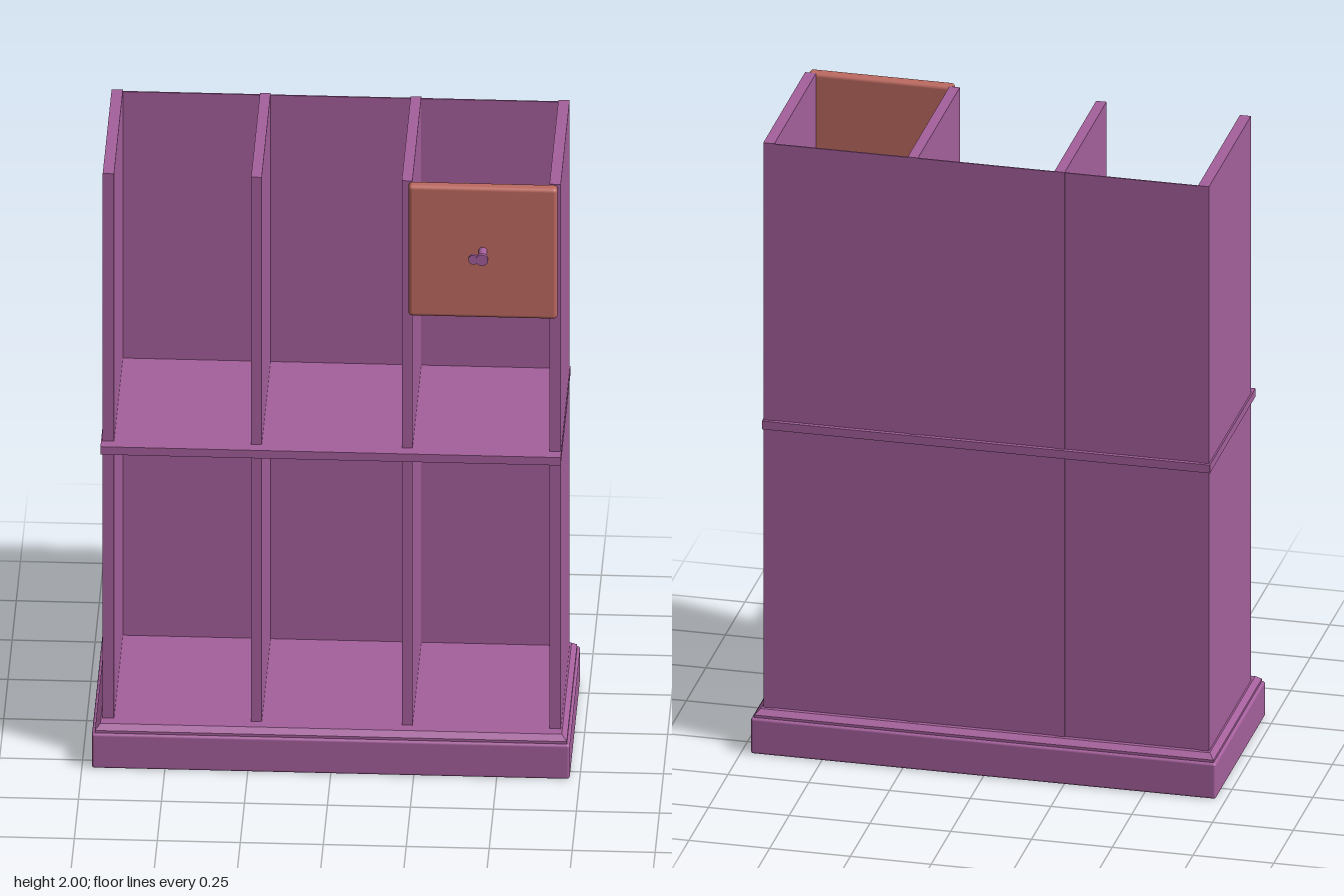
import * as THREE from 'three';
import { RoundedBoxGeometry } from 'three/addons/geometries/RoundedBoxGeometry.js';

const purple = new THREE.MeshStandardMaterial({ color: 0xa5609c });
const orange = new THREE.MeshStandardMaterial({ color: 0xbd6a60 });

export function createModel() {
  const group = new THREE.Group();

  const add = (name, geometry, material = purple) => {
    const mesh = new THREE.Mesh(geometry, material);
    mesh.name = name;
    group.add(mesh);
    return mesh;
  };

  // Box given by its extents; a radius rounds its edges
  const box = (name, [x0, x1], [y0, y1], [z0, z1], material, radius = 0) => {
    const size = [x1 - x0, y1 - y0, z1 - z0];
    const geometry = radius
      ? new RoundedBoxGeometry(...size, 3, radius)
      : new THREE.BoxGeometry(...size);
    geometry.translate((x0 + x1) / 2, (y0 + y1) / 2, (z0 + z1) / 2);
    return add(name, geometry, material);
  };

  // Plinth with a sloped moulding on top
  box('plinth', [-0.72, 0.72], [0, 0.117], [-0.335, 0.302], purple, 0.008);
  box('mouldingStep', [-0.711, 0.711], [0.11, 0.125], [-0.326, 0.293]);
  const moulding = new THREE.BoxGeometry(1.422, 0.015, 0.619);
  const p = moulding.attributes.position;
  for (let i = 0; i < p.count; i++) {
    if (p.getY(i) > 0) {
      p.setX(i, Math.sign(p.getX(i)) * 0.695);
      p.setZ(i, Math.sign(p.getZ(i)) * 0.291);
    }
  }
  moulding.toNonIndexed();
  moulding.computeVertexNormals();
  add('moulding', moulding).position.set(0, 0.1325, -0.0165);

  // Sides and dividers
  const uprights = [
    ['leftSide', 0.656, 0.69], ['leftDivider', 0.211, 0.243],
    ['rightDivider', -0.243, -0.211], ['rightSide', -0.69, -0.656],
  ];
  for (const [name, x0, x1] of uprights) {
    box(name, [x0, x1], [0.138, 2], [-0.296, 0.24]);
  }

  // Thin back and the middle shelf
  box('backPanel', [-0.66, 0.66], [0.138, 1.997], [-0.293, -0.288]);
  box('shelf', [-0.695, 0.692], [1.06, 1.087], [-0.306, 0.278]);

  // Drawer front
  box('drawerFront', [0.232, 0.681], [1.555, 2], [0.237, 0.275], orange, 0.012);

  // Knob: a post with a cap and a small offset button
  const disc = (name, x, radius, z0, z1) => {
    const geometry = new THREE.CylinderGeometry(radius, radius, z1 - z0, 20);
    geometry.rotateX(Math.PI / 2);
    add(name, geometry).position.set(x, 1.785, (z0 + z1) / 2);
  };
  disc('knobPost', 0.457, 0.013, 0.27, 0.326);
  disc('knobCap', 0.457, 0.019, 0.322, 0.335);
  disc('knobButton', 0.432, 0.016, 0.323, 0.333);

  return group;
}
